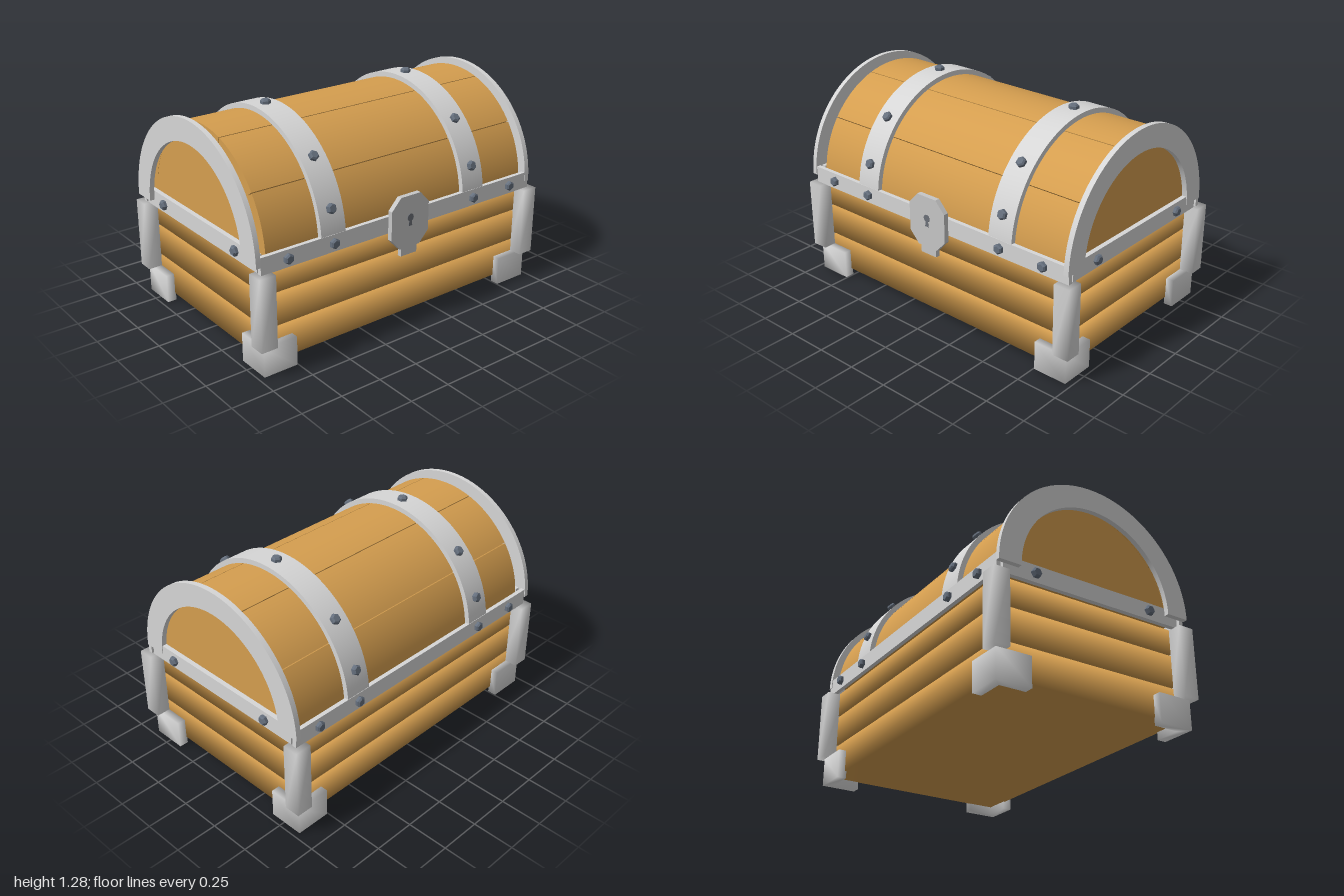
import * as THREE from 'three';
import { mergeVertices, toCreasedNormals } from 'three/addons/utils/BufferGeometryUtils.js';

const mat = (name, color) => {
  const m = new THREE.MeshStandardMaterial({ color });
  m.name = name;
  return m;
};
const LID_Y = 0.64; // height of the lid's axis

// Rounds the shading of a geometry by sharing its corner normals
function softened(geo) {
  geo.deleteAttribute('normal');
  geo.deleteAttribute('uv');
  const g = mergeVertices(geo);
  g.computeVertexNormals();
  return g;
}

// Box given by its min and max corners
function span(x0, x1, y0, y1, z0, z1) {
  return new THREE.BoxGeometry(x1 - x0, y1 - y0, z1 - z0)
    .translate((x0 + x1) / 2, (y0 + y1) / 2, (z0 + z1) / 2);
}

// Curved band around the lid's axis between x0 and x1
function band(rIn, rOut, a0, a1, x0, x1, steps = 32) {
  const s = new THREE.Shape();
  s.absarc(0, 0, rOut, a0, a1, false);
  s.absarc(0, 0, rIn, a1, a0, true);
  s.closePath();
  const g = new THREE.ExtrudeGeometry(s, { depth: x1 - x0, bevelEnabled: false, curveSegments: steps });
  g.rotateY(-Math.PI / 2).translate(x1, LID_Y, 0);
  return toCreasedNormals(g, 0.5);
}

export function createModel() {
  const root = new THREE.Group();
  root.name = 'treasureChest';
  const wood = mat('wood', 0xd59e4f);
  const iron = mat('paleIron', 0xd6d6d6);
  const plateMat = mat('lockIron', 0xc6c6c6);
  const boltMat = mat('boltSteel', 0x66707e);
  const holeMat = mat('keyholeGrey', 0x6c7078);

  const add = (name, geo, material) => {
    const m = new THREE.Mesh(geo, material);
    m.name = name;
    root.add(m);
    return m;
  };

  // Body: three stacked courses of boards with thin gaps
  for (const [y0, y1] of [[0.045, 0.242], [0.25, 0.437], [0.446, 0.595]]) {
    add('bodyBoards', softened(span(-0.915, 0.915, y0, y1, -0.575, 0.575)), wood);
  }

  // Lid: five curved boards over a solid core
  const step = Math.PI / 5;
  for (let i = 0; i < 5; i++) {
    add('lidBoard', band(0.54, 0.585, i * step + 0.004, (i + 1) * step - 0.004, -0.915, 0.915, 10), wood);
  }
  const core = new THREE.Shape();
  core.absarc(0, 0, 0.545, 0, Math.PI, false);
  core.closePath();
  const coreGeo = new THREE.ExtrudeGeometry(core, { depth: 1.828, bevelEnabled: false, curveSegments: 32 });
  coreGeo.rotateY(-Math.PI / 2).translate(0.914, LID_Y, 0);
  add('lidCore', toCreasedNormals(coreGeo, 0.5), wood);

  // End arches and the two straps across the lid
  add('leftArch', band(0.485, 0.62, 0, Math.PI, 0.935, 0.966), iron);
  add('rightArch', band(0.485, 0.62, 0, Math.PI, -0.997, -0.968), iron);
  for (const x of [-0.505, 0.505]) {
    add('lidStrap', band(0.58, 0.615, 0, Math.PI, x - 0.08, x + 0.08), iron);
  }

  // Rim strips
  for (const s of [-1, 1]) {
    const z = s * 0.6025, x = s * 0.948;
    add('longRim', span(-0.966, 0.966, 0.592, 0.692, z - 0.0125, z + 0.0125), iron);
    add('endRim', span(x - 0.014, x + 0.014, 0.592, 0.692, -0.575, 0.575), iron);
  }

  // Corner posts and L-shaped feet
  const lShape = new THREE.Shape([[0, 0], [0.21, 0], [0.21, 0.055], [0.055, 0.055], [0.055, 0.21], [0, 0.21]]
    .map(([x, y]) => new THREE.Vector2(x, y)));
  const corners = [[1, 1, 0], [1, -1, 1], [-1, -1, 2], [-1, 1, 3]];
  for (const [sx, sz, turn] of corners) {
    const post = new THREE.BoxGeometry(0.1, 0.422, 0.096);
    add('cornerPost', softened(post), iron).position.set(sx * 0.95, 0.382, sz * 0.605);

    const foot = new THREE.ExtrudeGeometry(lShape, { depth: 0.172, bevelEnabled: false });
    foot.rotateX(-Math.PI / 2).rotateY(Math.PI / 2 + turn * Math.PI / 2);
    add('foot', softened(foot), iron).position.set(sx * 0.965, 0, sz * 0.62);
  }

  // Hexagonal bolts with a bevelled head, facing along a direction
  const head = new THREE.LatheGeometry([[0.02, -0.012], [0.03, -0.012], [0.03, 0.014], [0.021, 0.023], [0, 0.023]]
    .map(([x, y]) => new THREE.Vector2(x, y)), 6);
  const boltGeo = toCreasedNormals(head, 0.2);
  const up = new THREE.Vector3(0, 1, 0);
  const bolt = (x, y, z, dx, dy, dz) => {
    const b = add('bolt', boltGeo, boltMat);
    b.position.set(x, y, z);
    b.quaternion.setFromUnitVectors(up, new THREE.Vector3(dx, dy, dz).normalize());
  };
  for (const x of [-0.505, 0.505]) {
    for (const deg of [-72, -45, 0, 45, 72]) {
      const a = THREE.MathUtils.degToRad(deg), s = Math.sin(a), c = Math.cos(a);
      bolt(x, LID_Y + 0.617 * c, 0.617 * s, 0, c, s);
    }
  }
  for (const s of [-1, 1]) {
    for (const x of [-0.8, -0.505, 0.505, 0.8]) bolt(x, 0.643, s * 0.617, 0, 0, s);
    for (const z of [-0.375, 0.375]) bolt(s * 0.964, 0.643, z, s, 0, 0);
  }

  // Lock plate, hasp tab and keyhole
  const octagon = new THREE.Shape([[-0.07, 0.487], [0.07, 0.487], [0.133, 0.555], [0.133, 0.728],
    [0.07, 0.796], [-0.07, 0.796], [-0.133, 0.728], [-0.133, 0.555]]
    .map(([x, y]) => new THREE.Vector2(x, y)));
  const lock = new THREE.ExtrudeGeometry(octagon, { depth: 0.03, bevelEnabled: false });
  add('lockPlate', lock.translate(0, 0, 0.615), plateMat);
  add('haspTab', span(-0.057, 0.057, 0.438, 0.495, 0.612, 0.638), plateMat);

  const disc = new THREE.CylinderGeometry(0.022, 0.022, 0.004, 16);
  add('keyholeTop', disc.rotateX(Math.PI / 2).translate(0, 0.665, 0.646), holeMat);
  const slot = new THREE.Shape([[-0.013, 0.615], [0.013, 0.615], [0.006, 0.66], [-0.006, 0.66]]
    .map(([x, y]) => new THREE.Vector2(x, y)));
  const slotGeo = new THREE.ExtrudeGeometry(slot, { depth: 0.003, bevelEnabled: false });
  add('keyholeSlot', slotGeo.translate(0, 0, 0.6445), holeMat);

  return root;
}
